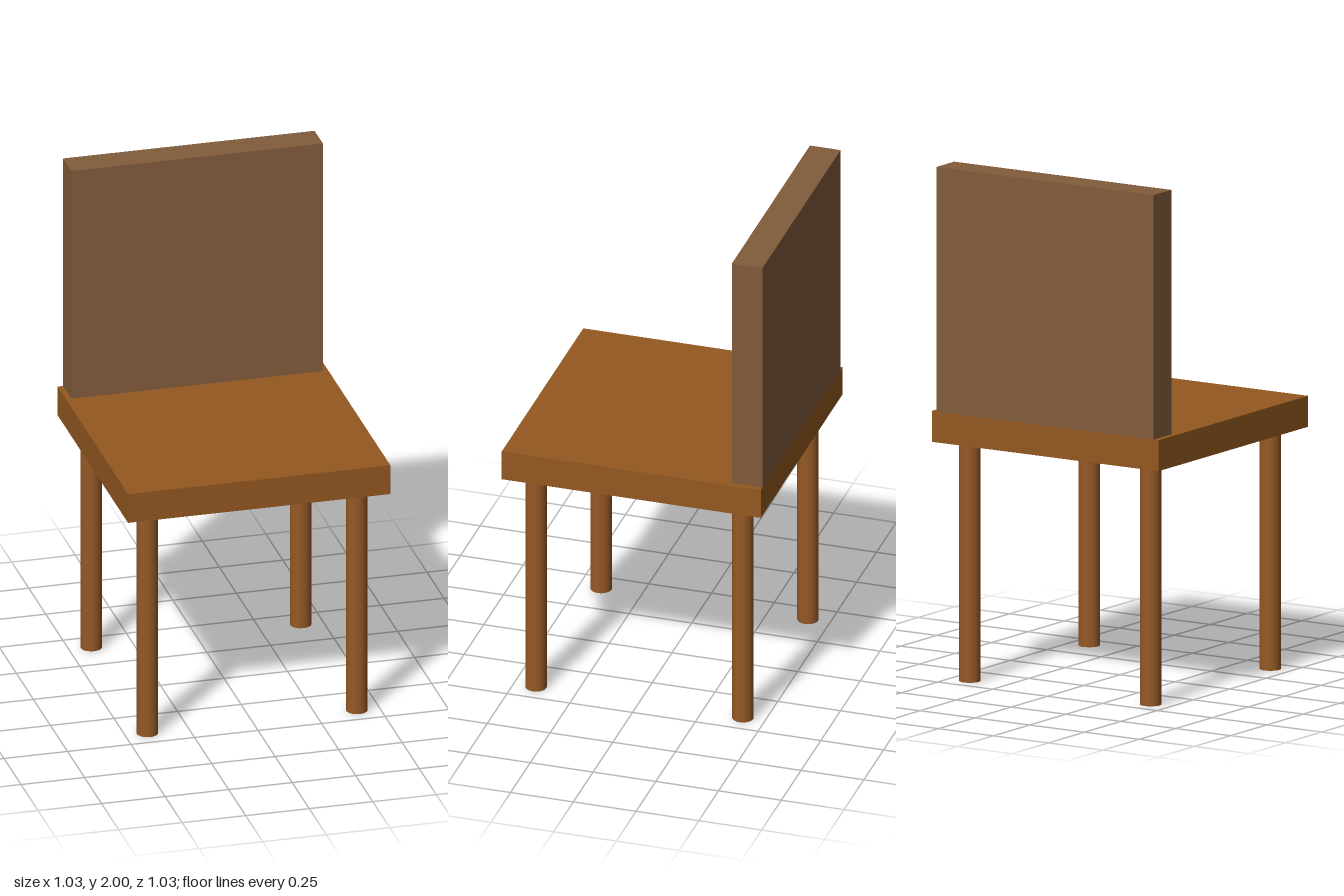
import * as THREE from 'three';

const material = (name, color) => {
  const m = new THREE.MeshStandardMaterial({ color });
  m.name = name;
  return m;
};

export function createModel() {
  const chair = new THREE.Group();
  chair.name = 'chair';
  const seatWood = material('seat wood', 0x945820);
  const legWood = material('leg wood', 0x965926);
  const backWood = material('backrest wood', 0x825c3c);

  const add = (name, geometry, mat, x, y, z) => {
    const mesh = new THREE.Mesh(geometry, mat);
    mesh.name = name;
    mesh.position.set(x, y, z);
    chair.add(mesh);
  };

  // Square seat slab
  add('seat', new THREE.BoxGeometry(1.032, 0.12, 1.032), seatWood, 0, 0.992, 0);

  // Upright backrest, flush with the rear edge of the seat
  add('backrest', new THREE.BoxGeometry(0.99, 0.948, 0.122), backWood, 0, 1.526, -0.455);

  // Four round legs
  const leg = new THREE.CylinderGeometry(0.041, 0.041, 0.932, 32);
  for (const [side, x] of [['Left', 0.412], ['Right', -0.412]]) {
    add('front' + side + 'Leg', leg, legWood, x, 0.466, 0.412);
    add('back' + side + 'Leg', leg, legWood, x, 0.466, -0.412);
  }
  return chair;
}
